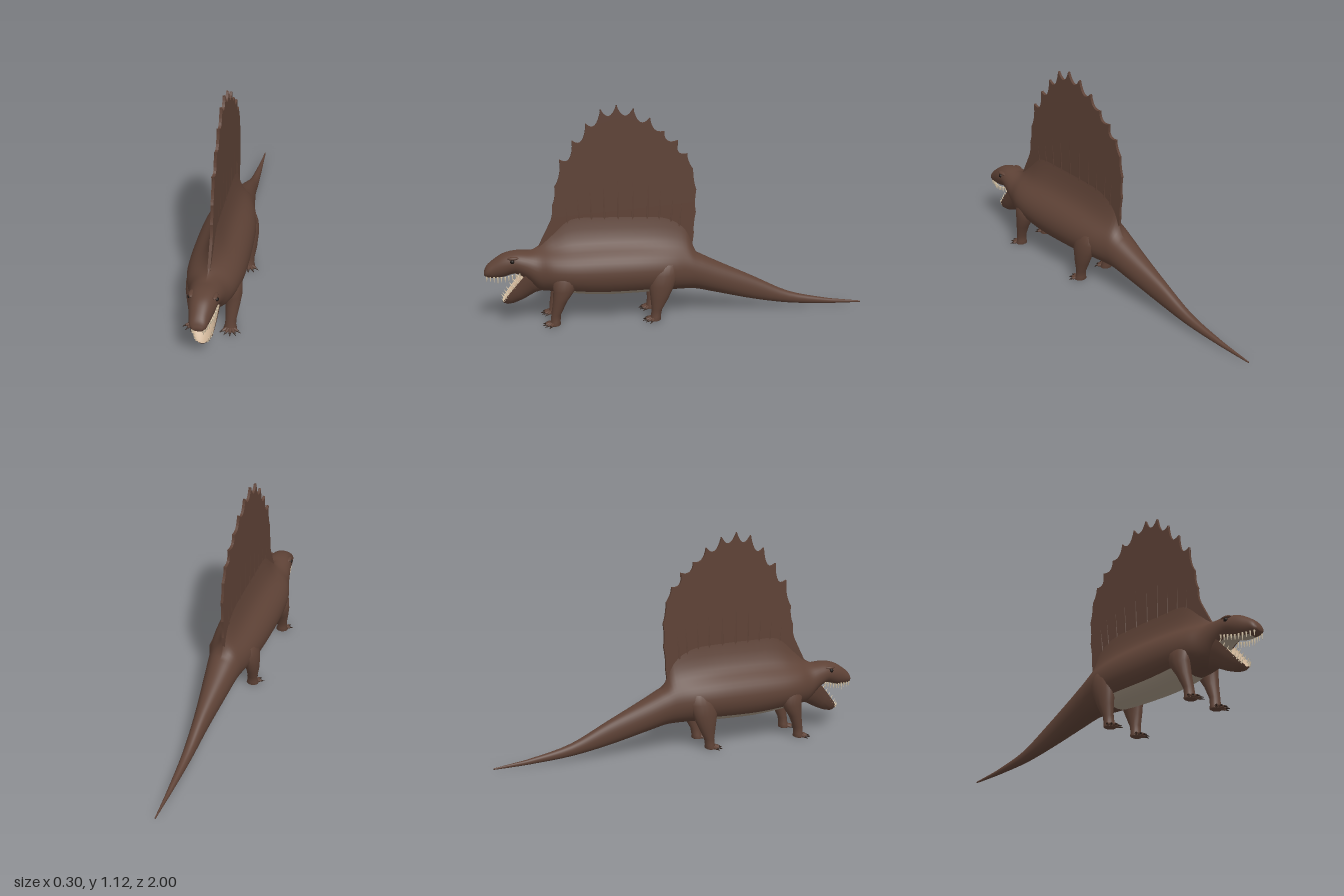
import * as THREE from 'three';
import { toCreasedNormals } from 'three/addons/utils/BufferGeometryUtils.js';

const mat = (name, color) => {
  const m = new THREE.MeshStandardMaterial({ color });
  m.name = name;
  return m;
};

// Skin over closed rings of points, capped at both ends; pick(ring, side) gives the material index
function loft(rings, pick = () => 0) {
  const n = rings[0].length, pos = [], lists = [[], []];
  rings.forEach(r => r.forEach(p => pos.push(...p)));
  const last = rings.length - 1;
  [rings[0], rings[last]].forEach(r => {
    for (let k = 0; k < 3; k++) pos.push(r.reduce((s, p) => s + p[k], 0) / n);
  });
  const c0 = rings.length * n, c1 = c0 + 1;
  for (let j = 0; j < n; j++) {
    const k = (j + 1) % n;
    for (let i = 0; i < last; i++) {
      const a = i * n + j, b = i * n + k;
      lists[pick(i, j)].push(a, b, b + n, a, b + n, a + n);
    }
    lists[0].push(c0, k, j, c1, last * n + j, last * n + k);
  }
  const g = new THREE.BufferGeometry();
  g.setAttribute('position', new THREE.Float32BufferAttribute(pos, 3));
  g.setIndex([...lists[0], ...lists[1]]);
  g.addGroup(0, lists[0].length, 0);
  g.addGroup(lists[0].length, lists[1].length, 1);
  g.computeVertexNormals();
  return g;
}

export function createModel() {
  const root = new THREE.Group();
  const skin = mat('skin', 0x5e4236), belly = mat('belly', 0xa59684), mouth = mat('mouth lining', 0xcbb195);
  const ivory = mat('ivory', 0xdccbae), dark = mat('dark', 0x1c1512), claw = mat('claw', 0x33241d);
  const add = (name, geo, m, parent = root) => {
    const mesh = new THREE.Mesh(geo, m);
    mesh.name = name;
    parent.add(mesh);
    return mesh;
  };
  const group = name => {
    const g = new THREE.Group();
    g.name = name;
    root.add(g);
    return g;
  };
  // Tapered rod between two points
  const rod = (name, a, b, r0, r1, m, parent) => {
    const A = new THREE.Vector3(...a), B = new THREE.Vector3(...b), d = B.clone().sub(A);
    const mesh = add(name, new THREE.CylinderGeometry(r1, r0, d.length(), 8), m, parent);
    mesh.position.copy(A).add(B).multiplyScalar(0.5);
    mesh.quaternion.setFromUnitVectors(new THREE.Vector3(0, 1, 0), d.normalize());
  };

  // Body from tail tip to snout: z, top, bottom, half width, sail ridge
  const rows = [
    [-1, .012, .004, .003, 0], [-.9, .025, .006, .008, 0], [-.8, .04, .01, .014, 0],
    [-.6, .088, .025, .026, 0], [-.4, .185, .06, .042, 0], [-.2, .28, .11, .07, 0],
    [-.1, .33, .135, .085, 0], [-.04, .35, .14, .095, .7], [.06, .37, .14, .12, 1],
    [.2, .385, .135, .137, 1], [.4, .39, .135, .143, 1], [.55, .385, .15, .14, 1],
    [.65, .38, .165, .125, .5], [.72, .375, .175, .1, .15], [.78, .38, .23, .085, 0],
    [.84, .382, .265, .073, 0], [.9, .37, .25, .062, 0], [.95, .34, .245, .05, 0],
    [.985, .31, .25, .04, 0], [1, .28, .262, .022, 0]
  ];
  const heights = new THREE.CatmullRomCurve3(rows.map(r => new THREE.Vector3(r[0], r[1], r[2])), false, 'catmullrom');
  const widths = new THREE.CatmullRomCurve3(rows.map(r => new THREE.Vector3(r[0], r[3], r[4])), false, 'catmullrom');
  const STEPS = 76, HALF = 18, zs = [], rings = [];
  for (let i = 0; i <= STEPS; i++) {
    const h = heights.getPoint(i / STEPS), w = widths.getPoint(i / STEPS);
    const ring = [];
    for (let j = 0; j < HALF * 2; j++) {
      const side = j <= HALF ? -1 : 1;
      const th = Math.PI * Math.pow(Math.min(j, HALF * 2 - j) / HALF, 1.6);
      const x = w.y * Math.pow(Math.max(Math.sin(th), 0), .88);
      let y = (h.y + h.z) / 2 + (h.y - h.z) / 2 * Math.cos(th);
      if (th < Math.PI / 2) y += .2 * Math.max(w.z, 0) * Math.exp(-x / .025);
      ring.push([side * x, y, h.x]);
    }
    zs.push(h.x);
    rings.push(ring);
  }
  const under = (j, limit) => Math.min(j + .5, HALF * 2 - j - .5) / HALF > limit;
  const isBelly = i => zs[i] > .06 && zs[i] < .6;
  add('body', loft(rings, (i, j) =>
    (isBelly(i) && under(j, .83)) || (zs[i] > .77 && zs[i] < .96 && under(j, .88)) ? 1 : 0), [skin, belly]);

  // Sail with a scalloped crest
  const tips = [[.6, .85], [.535, .945], [.465, 1.03], [.39, 1.1], [.31, 1.12], [.225, 1.1],
    [.14, 1.05], [.07, .98], [0, .93], [-.05, .86]];
  const sail = new THREE.Shape();
  sail.moveTo(.74, .36);
  sail.quadraticCurveTo(.69, .46, .66, .52);
  sail.quadraticCurveTo(.64, .56, .645, .61);
  sail.quadraticCurveTo(.625, .65, .63, .71);
  sail.quadraticCurveTo(.595, .76, .6, .85);
  for (let i = 1; i < tips.length; i++) {
    const [a, b] = [tips[i - 1], tips[i]];
    const mz = (a[0] + b[0]) / 2, my = (a[1] + b[1]) / 2;
    const depth = i > 6 ? .05 : .09;
    sail.quadraticCurveTo(mz - (mz - .3) * .12, my - depth, b[0], b[1]);
  }
  sail.quadraticCurveTo(-.05, .82, -.08, .78);
  sail.quadraticCurveTo(-.08, .72, -.097, .67);
  sail.quadraticCurveTo(-.085, .6, -.095, .55);
  sail.quadraticCurveTo(-.08, .48, -.085, .44);
  sail.lineTo(-.075, .36);
  sail.lineTo(-.07, .3);
  sail.lineTo(.7, .3);
  const sailGeo = new THREE.ExtrudeGeometry(sail, { depth: .014, bevelEnabled: false, curveSegments: 8 });
  sailGeo.rotateY(-Math.PI / 2).translate(.007, 0, 0);
  add('sail', sailGeo, skin);
  const spines = group('sailSpines');
  tips.forEach(([z, y]) => rod('spine', [0, .4, .3 + (z - .3) * .85], [0, y, z], .011, .003, skin, spines));

  // Lower jaw: upper edge z, y, lower edge z, y, half width
  const jawRows = [
    [.74, .295, .66, .175, .068], [.8, .262, .74, .158, .066], [.845, .207, .8, .125, .059],
    [.885, .157, .85, .105, .05], [.905, .13, .882, .1, .035], [.912, .118, .903, .105, .014]
  ];
  const jawRings = jawRows.map(([uz, uy, lz, ly, w]) => {
    const ring = [];
    for (let k = 0; k <= 12; k++) {
      const a = -Math.PI / 2 + Math.PI * k / 12, d = Math.cos(a);
      ring.push([w * Math.sin(a), uy + (ly - uy) * d, uz + (lz - uz) * d]);
    }
    for (let k = 0; k <= 6; k++) {
      const s = .86 * (1 - k / 3), d = .08 + .25 * (1 - s * s);
      ring.push([w * s, uy + (ly - uy) * d, uz + (lz - uz) * d]);
    }
    return ring;
  });
  add('lowerJaw', toCreasedNormals(loft(jawRings, (i, j) => j >= 12 ? 1 : 0), .8), [skin, mouth]);
  const tongue = add('tongue', new THREE.SphereGeometry(1, 16, 10), mouth);
  tongue.scale.set(.025, .012, .062);
  tongue.position.set(0, .192, .832);
  tongue.rotation.x = .87;

  const teeth = group('teeth'), eyes = group('eyes');
  for (const s of [-1, 1]) {
    // Upper teeth follow the lip, lower teeth follow the jaw edge
    for (let k = 0; k < 10; k++) {
      const z = .82 + k * .0185, x = s * (.062 - .035 * Math.pow(k / 9, 1.6));
      const y = .272 - .02 * Math.min(1, k / 4), len = k === 6 ? .03 : .02;
      rod('upperTooth', [x, y + .008, z], [x, y - len, z], .005, .0008, ivory, teeth);
    }
    for (let k = 0; k < 9; k++) {
      const t = .8 + k * .42, i = Math.min(Math.floor(t), 4), f = t - i;
      const [z, y, , , w] = jawRows[i].map((v, c) => v + (jawRows[i + 1][c] - v) * f);
      rod('lowerTooth', [s * w * .92, y - .006, z - .003], [s * w * .9, y + .014, z + .01], .0045, .0008, ivory, teeth);
    }
    const eye = add('eye', new THREE.SphereGeometry(.011, 14, 10), dark, eyes);
    eye.position.set(s * .064, .343, .855);
    const brow = add('brow', new THREE.SphereGeometry(1, 14, 10), skin, eyes);
    brow.scale.set(.014, .009, .03);
    brow.position.set(s * .056, .358, .85);
  }

  // Legs: centre x, y, z, radius across, radius along
  const legRows = {
    frontLeg: [[.085, .29, .59, .03, .05], [.095, .24, .595, .043, .066], [.1, .19, .6, .041, .055],
      [.097, .13, .622, .035, .036], [.092, .06, .643, .027, .025], [.09, .025, .646, .028, .025],
      [.09, .006, .65, .034, .03], [.09, .002, .65, .028, .024]],
    hindLeg: [[.085, .3, .08, .03, .06], [.09, .25, .09, .045, .078], [.1, .19, .098, .039, .066],
      [.1, .12, .11, .033, .046], [.095, .06, .123, .027, .027], [.093, .025, .128, .028, .026],
      [.093, .006, .132, .034, .03], [.093, .002, .132, .028, .024]]
  };
  for (const [name, legs] of Object.entries(legRows)) for (const s of [-1, 1]) {
    const leg = group((s > 0 ? 'left ' : 'right ') + name);
    add('limb', loft(legs.map(([x, y, z, rx, rz]) => Array.from({ length: 18 }, (_, k) => {
      const a = k / 18 * Math.PI * 2;
      return [s * x + rx * Math.cos(a), y, z + rz * Math.sin(a)];
    }))), skin, leg);
    // Five splayed toes with claws
    const [fx, , fz] = legs[6];
    for (let k = -2; k <= 2; k++) {
      const a = k * .48 + .12, dx = s * Math.sin(a), dz = Math.cos(a);
      const at = (d, y) => [s * fx + dx * d, y, fz + dz * d];
      rod('toe', at(.012, .014), at(.046, .008), .011, .0065, skin, leg);
      rod('claw', at(.044, .009), at(.064, .003), .006, .001, claw, leg);
    }
  }
  return root;
}
